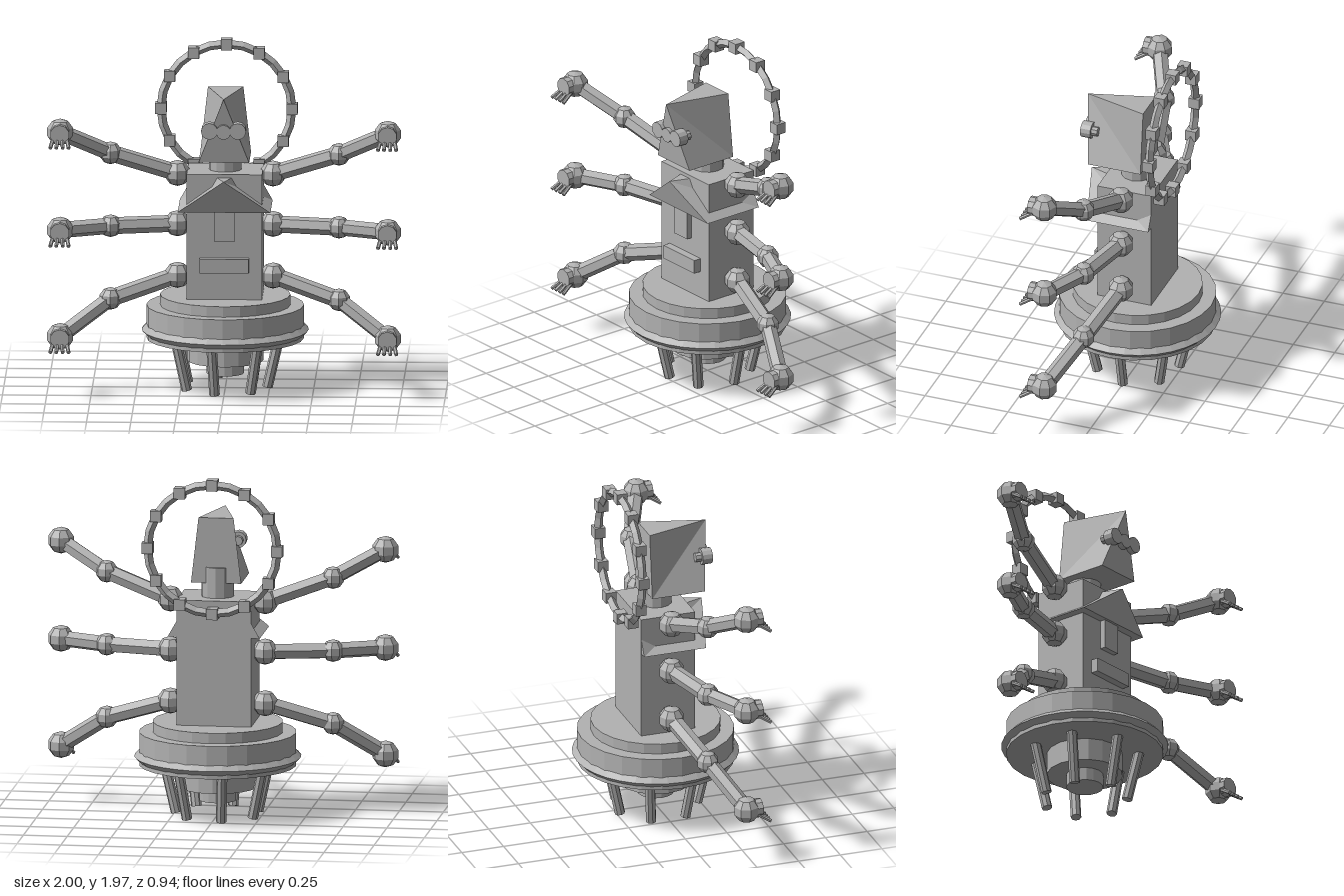
import * as THREE from 'three';

const stone = new THREE.MeshStandardMaterial({ color: 0xb2b2b2, flatShading: true });
stone.name = 'grey stone';

function add(parent, name, geometry, x = 0, y = 0, z = 0) {
  const mesh = new THREE.Mesh(geometry, stone);
  mesh.name = name;
  mesh.position.set(x, y, z);
  parent.add(mesh);
  return mesh;
}

// Straight rod between two points
function rod(parent, name, a, b, radius, sides) {
  const from = new THREE.Vector3(...a), to = new THREE.Vector3(...b);
  const dir = to.clone().sub(from);
  const mesh = add(parent, name, new THREE.CylinderGeometry(radius, radius, dir.length(), sides));
  mesh.position.copy(from).add(to).multiplyScalar(0.5);
  mesh.quaternion.setFromUnitVectors(new THREE.Vector3(0, 1, 0), dir.normalize());
  return mesh;
}

// Block whose two upper front corners meet in one point
function beakBlock(halfBottom, halfTop, y0, y1, back, front, tip) {
  const g = new THREE.BufferGeometry();
  g.setAttribute('position', new THREE.Float32BufferAttribute([
    0, y1, tip,
    -halfTop, y1, back, halfTop, y1, back,
    -halfBottom, y0, back, halfBottom, y0, back,
    -halfBottom, y0, front, halfBottom, y0, front,
  ], 3));
  g.setIndex([0, 2, 1, 0, 5, 6, 0, 6, 4, 0, 4, 2, 0, 3, 5, 0, 1, 3,
    2, 4, 3, 2, 3, 1, 5, 3, 4, 5, 4, 6]);
  const flat = g.toNonIndexed();
  flat.computeVertexNormals();
  return flat;
}

function cylinderZ(radius, depth, sides) {
  return new THREE.CylinderGeometry(radius, radius, depth, sides).rotateX(Math.PI / 2);
}

// Arm with ball joints and a clawed hand; side is +1 or -1
function makeArm(side, name, shoulderY, elbowY, handY) {
  const arm = new THREE.Group();
  arm.name = name;
  const s = [side * 0.27, shoulderY, 0];
  const e = [side * 0.645, elbowY, 0.083];
  const h = [side * 0.925, handY, 0.215];
  add(arm, 'shoulder', new THREE.SphereGeometry(0.075, 8, 5), ...s);
  add(arm, 'elbow', new THREE.SphereGeometry(0.065, 8, 5), ...e);
  add(arm, 'hand', new THREE.SphereGeometry(0.077, 8, 5), ...h);
  rod(arm, 'upperArm', s, e, 0.048, 6);
  rod(arm, 'forearm', e, h, 0.046, 6);
  add(arm, 'palm', cylinderZ(0.055, 0.06, 10), h[0], h[1], h[2] + 0.055);
  for (const dx of [-0.052, -0.018, 0.018, 0.052]) {
    rod(arm, 'finger', [h[0] + dx * 0.7, h[1] - 0.02, h[2] + 0.05],
      [h[0] + dx, h[1] - 0.068, h[2] + 0.128], 0.011, 6);
  }
  return arm;
}

export function createModel() {
  const model = new THREE.Group();
  model.name = 'sixArmedIdol';

  // Round base with a ridged rim
  const disc = (name, r, y0, y1, sides) =>
    add(model, name, new THREE.CylinderGeometry(r, r, y1 - y0, sides), 0, (y0 + y1) / 2, 0);
  disc('upperDisc', 0.368, 0.48, 0.54, 24);
  disc('mainDisc', 0.445, 0.29, 0.48, 24);
  disc('lowerHub', 0.215, 0.16, 0.29, 16);
  disc('hubTip', 0.105, 0.085, 0.16, 16);
  add(model, 'baseRim', new THREE.TorusGeometry(0.43, 0.042, 4, 32).rotateX(Math.PI / 2), 0, 0.34, 0);

  // Seven leaning legs
  for (let i = 0; i < 7; i++) {
    const a = (i / 7) * Math.PI * 2, c = Math.cos(a), s = Math.sin(a);
    rod(model, 'leg', [c * 0.238, 0.007, s * 0.238], [c * 0.308, 0.31, s * 0.308], 0.03, 8);
  }

  // Body with front panels and collar
  add(model, 'body', new THREE.BoxGeometry(0.426, 0.72, 0.324), 0, 0.9, 0);
  add(model, 'chestPanel', new THREE.BoxGeometry(0.116, 0.2, 0.05), 0, 0.98, 0.17);
  add(model, 'bellyPanel', new THREE.BoxGeometry(0.278, 0.08, 0.06), 0, 0.74, 0.178);
  add(model, 'collar', beakBlock(0.262, 0.155, 1.05, 1.24, -0.161, 0.21, 0.276));

  // Neck and head
  disc('neck', 0.093, 1.25, 1.435, 12);
  add(model, 'head', beakBlock(0.143, 0.1, 1.345, 1.72, -0.07, 0.245, 0.3));

  // Goggles
  for (const side of [-1, 1]) {
    add(model, 'goggleLens', cylinderZ(0.047, 0.06, 12), side * 0.08, 1.535, 0.27);
    add(model, 'goggleMount', cylinderZ(0.027, 0.09, 8), side * 0.085, 1.535, 0.25);
  }
  add(model, 'goggleBridge', cylinderZ(0.042, 0.05, 12), 0, 1.53, 0.275);

  // Three pairs of arms
  const levels = [['upper', 1.235, 1.365, 1.51], ['middle', 0.945, 0.945, 0.945], ['lower', 0.648, 0.527, 0.333]];
  for (const [label, ...ys] of levels) {
    model.add(makeArm(1, label + 'ArmLeft', ...ys));
    model.add(makeArm(-1, label + 'ArmRight', ...ys));
  }

  // Halo ring with twelve cubes behind the head
  const halo = new THREE.Group();
  halo.name = 'halo';
  halo.position.set(0, 1.567, -0.21);
  add(halo, 'haloRing', new THREE.TorusGeometry(0.37, 0.025, 4, 24));
  for (let i = 0; i < 12; i++) {
    const a = (i / 12) * Math.PI * 2;
    add(halo, 'haloCube', new THREE.BoxGeometry(0.063, 0.063, 0.063), 0.37 * Math.cos(a), 0.37 * Math.sin(a), 0);
  }
  model.add(halo);

  return model;
}
